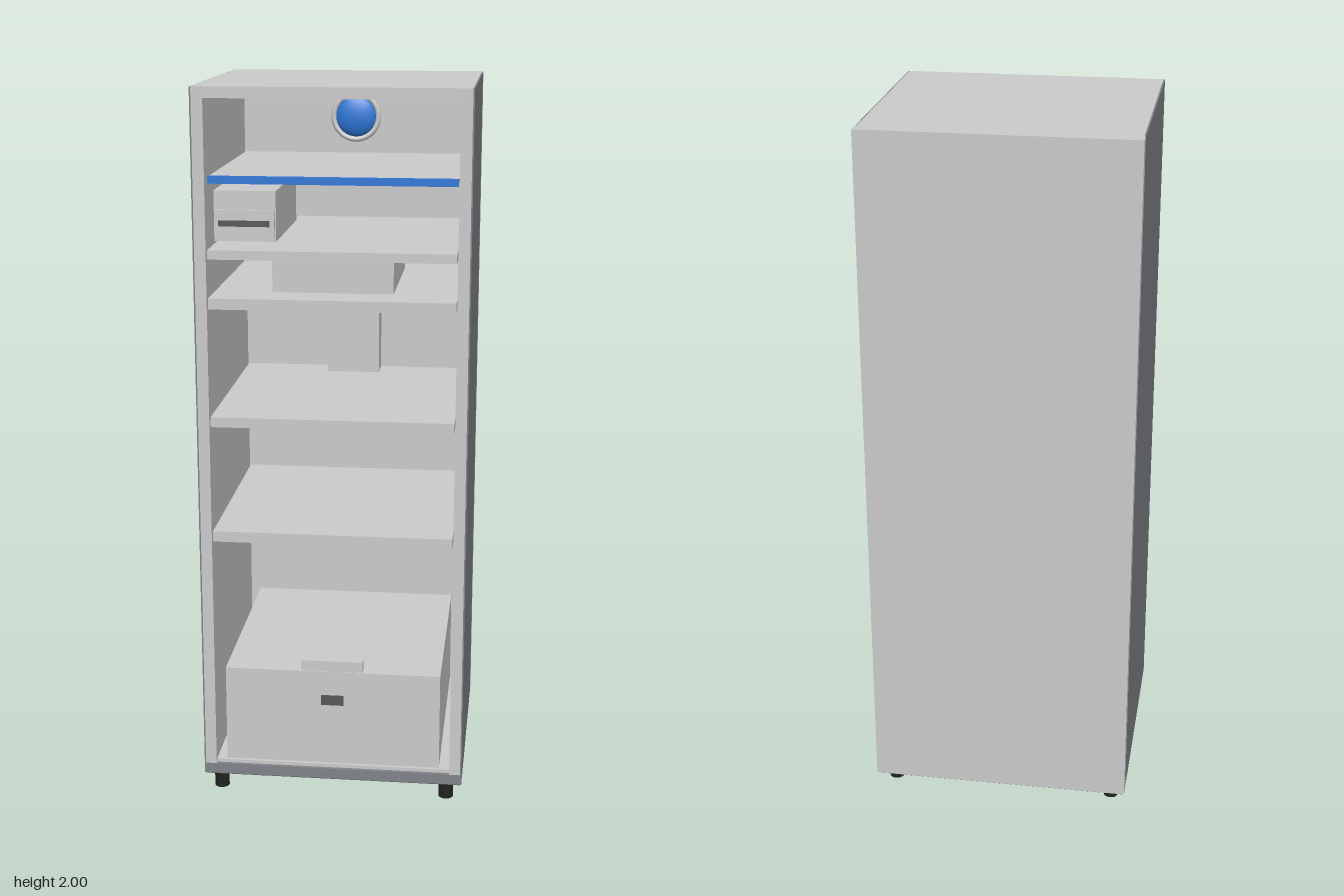
import * as THREE from 'three';

const mat = (color) => new THREE.MeshStandardMaterial({ color });
const light = mat(0xcccccc);
const steel = mat(0x808388);
const dark = mat(0x555759);
const black = mat(0x222222);
const blue = mat(0x2f78d8);

export function createModel() {
  const root = new THREE.Group();

  const add = (name, geometry, material, x, y, z, parent = root) => {
    const mesh = new THREE.Mesh(geometry, material);
    mesh.name = name;
    mesh.position.set(x, y, z);
    parent.add(mesh);
    return mesh;
  };
  // Box given by its limits on each axis
  const box = (name, [x0, x1], [y0, y1], [z0, z1], material = light, parent = root) =>
    add(name, new THREE.BoxGeometry(x1 - x0, y1 - y0, z1 - z0), material,
      (x0 + x1) / 2, (y0 + y1) / 2, (z0 + z1) / 2, parent);

  // Cabinet: light walls, grey outer skins, back panel and base
  const cabinet = new THREE.Group();
  cabinet.name = 'cabinet';
  root.add(cabinet);
  for (const s of [-1, 1]) {
    const side = s < 0 ? 'right' : 'left';
    box(side + 'Wall', s < 0 ? [-0.366, -0.335] : [0.335, 0.366], [0.08, 2], [-0.31, 0.345], light, cabinet);
    box(side + 'Skin', s < 0 ? [-0.37, -0.366] : [0.366, 0.37], [0.08, 1.999], [-0.31, 0.345], steel, cabinet);
  }
  box('ceiling', [-0.335, 0.335], [1.97, 2], [-0.31, 0.345], light, cabinet);
  box('backPanel', [-0.37, 0.37], [0.05, 2], [-0.35, -0.31], light, cabinet);
  box('base', [-0.37, 0.37], [0.05, 0.08], [-0.31, 0.345], steel, cabinet);
  box('underside', [-0.365, 0.365], [0.046, 0.051], [-0.345, 0.34], dark, cabinet);
  box('floorLiner', [-0.335, 0.335], [0.08, 0.09], [-0.31, 0.335], light, cabinet);

  // Feet
  for (const x of [-0.325, 0.325])
    for (const z of [-0.28, 0.315])
      add('foot', new THREE.CylinderGeometry(0.021, 0.021, 0.05, 20), black, x, 0.025, z);

  // Shelves; the topmost has a blue front trim
  for (const [y0, y1] of [[0.755, 0.785], [1.085, 1.113], [1.412, 1.442], [1.547, 1.572]])
    box('shelf', [-0.332, 0.332], [y0, y1], [-0.31, 0.341]);
  box('topShelf', [-0.332, 0.332], [1.747, 1.763], [-0.31, 0.302]);
  box('topShelfTrim', [-0.332, 0.332], [1.745, 1.765], [0.302, 0.315], blue);

  // Small box with a pull-out tray below the top shelf
  const iceBox = new THREE.Group();
  iceBox.name = 'iceBox';
  root.add(iceBox);
  box('iceBoxBody', [-0.32, -0.153], [1.59, 1.725], [-0.1, 0.295], light, iceBox);
  box('iceTray', [-0.317, -0.156], [1.6, 1.675], [0.295, 0.306], light, iceBox);
  box('iceTrayGrip', [-0.306, -0.168], [1.631, 1.647], [0.306, 0.309], dark, iceBox);

  // Shallow tray hung under a shelf
  box('hangingTray', [-0.163, 0.163], [1.456, 1.547], [-0.1, 0.305]);

  // Air duct, fans and vents on the back wall
  box('airDuct', [-0.077, 0.077], [1.113, 1.325], [-0.31, -0.23]);
  for (const y of [1.87, 1.4]) {
    const fan = new THREE.Group();
    fan.name = 'fan';
    fan.position.set(0, y, -0.31);
    root.add(fan);
    add('fanRim', new THREE.TorusGeometry(0.066, 0.008, 10, 40), light, 0, 0, 0.01, fan);
    const dome = add('fanDome', new THREE.SphereGeometry(0.062, 32, 16), blue, 0, 0, 0.004, fan);
    dome.scale.z = 0.4;
  }
  for (let i = 0; i < 6; i++)
    box('vent', [-0.247 + i * 0.0875, -0.191 + i * 0.0875], [1.938, 1.948], [-0.31, -0.305], dark);

  // Bottom drawer with a lip handle and a dark catch
  const drawer = new THREE.Group();
  drawer.name = 'drawer';
  root.add(drawer);
  box('drawerBody', [-0.305, 0.305], [0.095, 0.375], [-0.305, 0.335], light, drawer);
  box('drawerHandle', [-0.087, 0.087], [0.383, 0.413], [0.325, 0.348], light, drawer);
  box('handleMount', [-0.07, 0.07], [0.373, 0.385], [0.325, 0.333], light, drawer);
  box('drawerCatch', [-0.032, 0.032], [0.275, 0.304], [0.335, 0.339], dark, drawer);

  return root;
}
